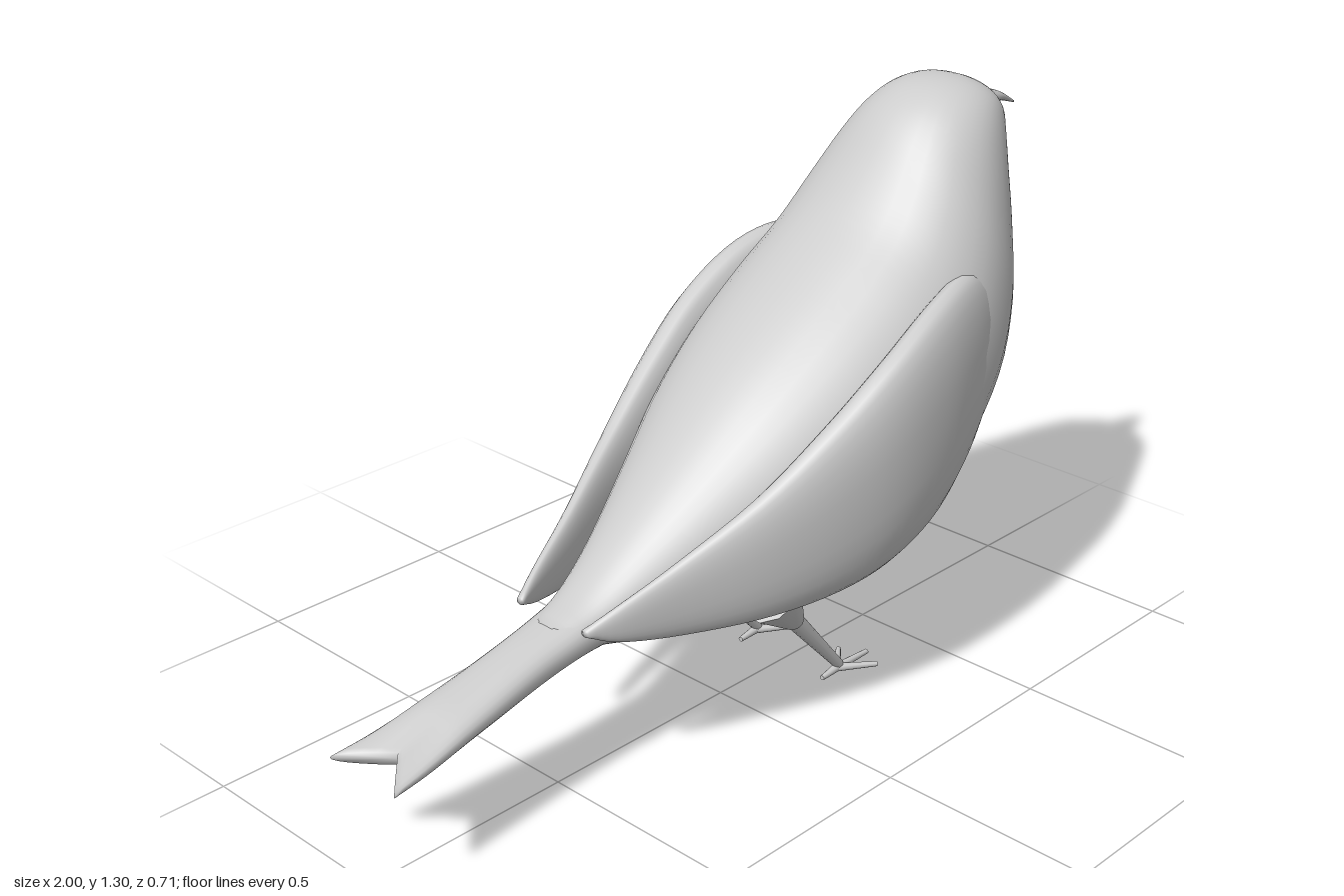
import * as THREE from 'three';

const material = new THREE.MeshStandardMaterial({ color: 0xcccccc, side: THREE.DoubleSide });

// Smooth skin through sections [topX, topY, bottomX, bottomY, halfWidth, centreZ], listed towards +x.
function loft(sections, steps, sides, power = 2) {
  const top = new THREE.CatmullRomCurve3(sections.map(s => new THREE.Vector3(s[0], s[1], s[4])), false, 'catmullrom', 0.5);
  const bottom = new THREE.CatmullRomCurve3(sections.map(s => new THREE.Vector3(s[2], s[3], s[5] || 0)), false, 'catmullrom', 0.5);
  const round = v => Math.sign(v) * Math.abs(v) ** (2 / power);
  const pos = [], index = [];
  for (let i = 0; i <= steps; i++) {
    const a = top.getPoint(i / steps), b = bottom.getPoint(i / steps);
    for (let j = 0; j < sides; j++) {
      const angle = j / sides * Math.PI * 2;
      const c = round(Math.cos(angle)), s = round(Math.sin(angle));
      pos.push((a.x + b.x + (a.x - b.x) * c) / 2, (a.y + b.y + (a.y - b.y) * c) / 2, b.z + a.z * s);
      if (i < steps) {
        const p = i * sides + j, q = i * sides + (j + 1) % sides;
        index.push(p, q, p + sides, q, q + sides, p + sides);
      }
    }
  }
  // end caps
  for (const [i, flip] of [[0, true], [steps, false]]) {
    const a = top.getPoint(i / steps), b = bottom.getPoint(i / steps);
    const centre = pos.length / 3;
    pos.push((a.x + b.x) / 2, (a.y + b.y) / 2, b.z);
    for (let j = 0; j < sides; j++) {
      const p = i * sides + j, q = i * sides + (j + 1) % sides;
      index.push(centre, flip ? q : p, flip ? p : q);
    }
  }
  const geometry = new THREE.BufferGeometry();
  geometry.setAttribute('position', new THREE.Float32BufferAttribute(pos, 3));
  geometry.setIndex(index);
  geometry.computeVertexNormals();
  return geometry;
}

function add(parent, name, geometry) {
  const mesh = new THREE.Mesh(geometry, material);
  mesh.name = name;
  parent.add(mesh);
  return mesh;
}

// Tapered round bar between two points
function bar(parent, name, from, to, r0, r1) {
  const a = new THREE.Vector3(...from), b = new THREE.Vector3(...to);
  const dir = b.clone().sub(a);
  const mesh = add(parent, name, new THREE.CylinderGeometry(r1, r0, dir.length(), 10));
  mesh.position.copy(a).add(b).multiplyScalar(0.5);
  mesh.quaternion.setFromUnitVectors(new THREE.Vector3(0, 1, 0), dir.normalize());
  return mesh;
}

export function createModel() {
  const bird = new THREE.Group();
  bird.name = 'bird';

  // Body and head, sections running from back to belly
  add(bird, 'body', loft([
    [-0.52, 0.39, -0.50, 0.31, 0.06],
    [-0.42, 0.43, -0.40, 0.305, 0.085],
    [-0.30, 0.515, -0.25, 0.26, 0.135],
    [-0.15, 0.64, -0.05, 0.23, 0.21],
    [0.00, 0.77, 0.13, 0.215, 0.28],
    [0.14, 0.875, 0.33, 0.29, 0.32],
    [0.27, 0.965, 0.55, 0.405, 0.33],
    [0.38, 1.045, 0.70, 0.55, 0.31],
    [0.46, 1.13, 0.78, 0.72, 0.275],
    [0.53, 1.215, 0.815, 0.90, 0.225],
    [0.59, 1.265, 0.825, 1.05, 0.185],
    [0.66, 1.295, 0.835, 1.14, 0.15],
    [0.74, 1.30, 0.845, 1.18, 0.115],
    [0.81, 1.275, 0.855, 1.20, 0.065],
    [0.845, 1.25, 0.86, 1.22, 0.02],
  ], 56, 40, 2.15));

  // Forked tail
  const tail = loft([
    [-1.00, 0.266, -1.00, 0.238, 0.10],
    [-0.90, 0.29, -0.90, 0.238, 0.09],
    [-0.75, 0.33, -0.72, 0.262, 0.077],
    [-0.60, 0.37, -0.57, 0.288, 0.07],
    [-0.48, 0.40, -0.46, 0.306, 0.075],
    [-0.36, 0.44, -0.34, 0.31, 0.085],
  ], 24, 24, 2.3);
  const p = tail.attributes.position;
  for (let i = 0; i < p.count; i++) {
    const x = p.getX(i), k = Math.max(0, (-0.8 - x) / 0.2);
    p.setX(i, x + 0.09 * k * (1 - Math.min(1, Math.abs(p.getZ(i)) / 0.1)));
  }
  tail.computeVertexNormals();
  add(bird, 'tail', tail);

  // Curved beak
  add(bird, 'beak', loft([
    [0.79, 1.275, 0.80, 1.13, 0.075],
    [0.835, 1.255, 0.835, 1.165, 0.055],
    [0.88, 1.237, 0.875, 1.187, 0.036],
    [0.94, 1.215, 0.93, 1.195, 0.019],
    [1.00, 1.181, 0.998, 1.177, 0.002],
  ], 20, 20));

  for (const [side, s] of [['left', -1], ['right', 1]]) {
    // Folded wing
    add(bird, side + 'Wing', loft([
      [-0.50, 0.408, -0.50, 0.392, 0.010, 0.098],
      [-0.43, 0.445, -0.43, 0.363, 0.016, 0.125],
      [-0.30, 0.51, -0.30, 0.342, 0.025, 0.168],
      [-0.12, 0.615, -0.12, 0.333, 0.040, 0.230],
      [0.05, 0.735, 0.05, 0.340, 0.055, 0.272],
      [0.20, 0.84, 0.20, 0.365, 0.062, 0.293],
      [0.35, 0.92, 0.35, 0.415, 0.064, 0.288],
      [0.48, 0.95, 0.48, 0.495, 0.062, 0.265],
      [0.58, 0.925, 0.58, 0.590, 0.055, 0.238],
      [0.64, 0.865, 0.64, 0.680, 0.042, 0.218],
      [0.665, 0.79, 0.665, 0.760, 0.015, 0.205],
    ].map(a => [...a.slice(0, 5), s * a[5]]), 44, 28, 2.3));

    // Eye
    const eye = add(bird, side + 'Eye', new THREE.SphereGeometry(1, 20, 14));
    eye.scale.set(0.035, 0.052, 0.022);
    eye.position.set(0.70, 1.195, s * 0.142);
    eye.rotation.set(-s * 0.3, s * 0.2, 0);

    // Leg and foot
    const leg = new THREE.Group();
    leg.name = side + 'Leg';
    leg.position.z = s * 0.128;
    bird.add(leg);
    bar(leg, 'thigh', [0.02, 0.30, 0], [0.105, 0.195, 0], 0.075, 0.024);
    bar(leg, 'shank', [0.09, 0.212, 0], [0.262, 0.016, 0], 0.022, 0.012);
    for (const [x, z] of [[0.362, 0], [0.335, 0.055], [0.325, -0.055], [0.198, 0.005]]) {
      bar(leg, 'toe', [0.255, 0.010, 0], [x, 0.008, z], 0.010, 0.006);
    }
  }
  return bird;
}
